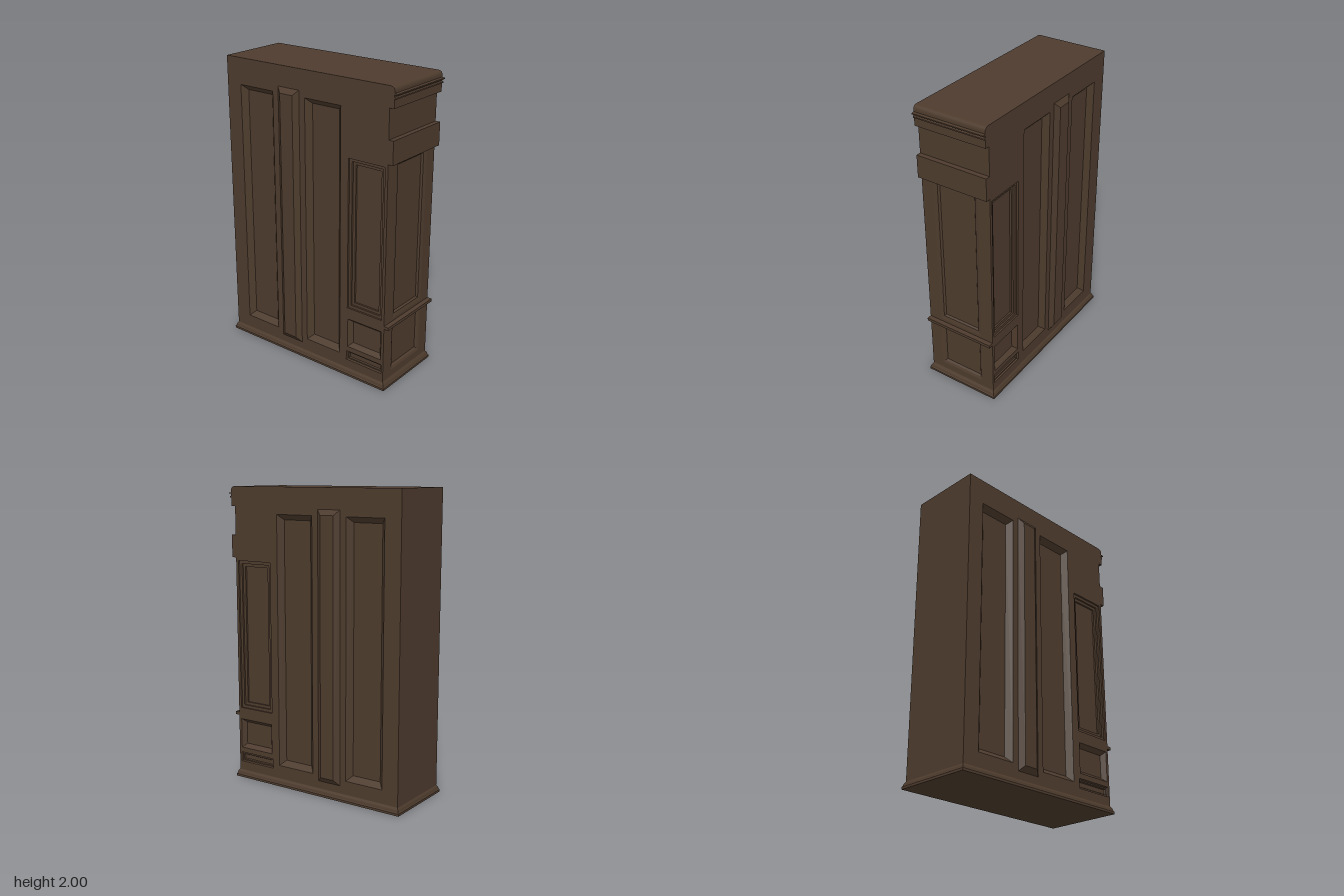
import * as THREE from 'three';

const X0 = -0.66, X1 = 0.62, H = 2, D = 0.25;

// Rectangles are [x0, x1, y0, y1]
const inset = ([a, b, c, d], n) => [a + n, b - n, c + n, d - n];

// Nested rectangles at given heights joined into a moulded panel with a flat field
function mouldingGeometry(rings) {
  const corners = rings.map(([[a, b, c, d], z]) => [[a, c, z], [b, c, z], [b, d, z], [a, d, z]]);
  const pos = [];
  const quad = (p, q, r, s) => pos.push(...p, ...q, ...r, ...p, ...r, ...s);
  for (let i = 0; i < corners.length - 1; i++) {
    for (let k = 0; k < 4; k++) {
      const n = (k + 1) % 4;
      quad(corners[i][k], corners[i][n], corners[i + 1][n], corners[i + 1][k]);
    }
  }
  quad(...corners[corners.length - 1]);
  const g = new THREE.BufferGeometry();
  g.setAttribute('position', new THREE.Float32BufferAttribute(pos, 3));
  g.computeVertexNormals();
  return g;
}

function rectPoints([a, b, c, d]) {
  return [[a, c], [b, c], [b, d], [a, d]].map(p => new THREE.Vector2(...p));
}

// Flat face with rectangular openings
function faceGeometry(rect, openings, z) {
  const shape = new THREE.Shape(rectPoints(rect));
  for (const o of openings) shape.holes.push(new THREE.Path(rectPoints(o)));
  return new THREE.ShapeGeometry(shape).translate(0, 0, z);
}

// Mirror front to back, keeping faces outward
function mirrorZ(geometry) {
  const g = geometry.index ? geometry.toNonIndexed() : geometry.clone();
  const p = g.attributes.position;
  for (let i = 0; i < p.count; i += 3) {
    const b = new THREE.Vector3().fromBufferAttribute(p, i + 1);
    const c = new THREE.Vector3().fromBufferAttribute(p, i + 2);
    p.setXYZ(i + 1, c.x, c.y, c.z);
    p.setXYZ(i + 2, b.x, b.y, b.z);
  }
  for (let i = 0; i < p.count; i++) p.setZ(i, -p.getZ(i));
  g.computeVertexNormals();
  return g;
}

export function createModel() {
  const model = new THREE.Group();
  model.name = 'panelledCabinet';
  const wood = new THREE.MeshStandardMaterial({ color: 0x4d3b2d });
  wood.name = 'darkWood';

  const add = (name, geometry) => {
    const m = new THREE.Mesh(geometry, wood);
    m.name = name;
    model.add(m);
    return m;
  };

  // Front and back share the same panelling
  const leftDoor = [-0.545, -0.27, 0.14, 1.825];
  const rightDoor = [-0.01, 0.27, 0.14, 1.825];
  const tall = [0.33, 0.60, 0.495, 1.51];
  const small = [0.335, 0.60, 0.21, 0.415];
  const drawer = [0.325, 0.605, 0.11, 0.175];
  const pilaster = [-0.225, -0.055, 0.10, 1.865];

  const sunk = r => [[r, D], [inset(r, 0.035), D - 0.035]];
  const sideParts = {
    Wall: faceGeometry([X0, X1, 0, H], [leftDoor, rightDoor, tall, small, drawer], D),
    DoorPanelA: mouldingGeometry(sunk(leftDoor)),
    DoorPanelB: mouldingGeometry(sunk(rightDoor)),
    Pilaster: mouldingGeometry([[pilaster, D], [inset(pilaster, 0.035), D + 0.025]]),
    TallPanel: mouldingGeometry([
      [tall, D], [tall, D - 0.012],
      [inset(tall, 0.02), D - 0.012], [inset(tall, 0.02), D - 0.024],
      [inset(tall, 0.04), D - 0.024], [inset(tall, 0.04), D - 0.036],
    ]),
    SmallPanel: mouldingGeometry([[small, D], [inset(small, 0.025), D - 0.03]]),
    DrawerPanel: mouldingGeometry([
      [drawer, D], [inset(drawer, 0.005), D - 0.012],
      [inset(drawer, 0.013), D - 0.012], [inset(drawer, 0.018), D - 0.02],
    ]),
  };
  for (const [name, g] of Object.entries(sideParts)) {
    add('front' + name, g);
    add('back' + name, mirrorZ(g));
  }

  // Panelled end
  const upper = [-0.163, 0.163, 0.48, 1.53];
  const lower = [-0.163, 0.163, 0.10, 0.435];
  const endPanel = (r, n) => mouldingGeometry([
    [r, X1], [inset(r, n), X1 - 0.006], [inset(r, n + 0.01), X1 - 0.018],
  ]);
  const endParts = {
    endWall: faceGeometry([-D, D, 0, H], [upper, lower], X1),
    endUpperPanel: endPanel(upper, 0.025),
    endLowerPanel: endPanel(lower, 0.016),
  };
  for (const [name, g] of Object.entries(endParts)) add(name, g.rotateY(Math.PI / 2));

  // Plain end, top and underside
  const width = X1 - X0, mid = (X0 + X1) / 2;
  add('plainEnd', new THREE.PlaneGeometry(2 * D, H).rotateY(-Math.PI / 2).translate(X0, H / 2, 0));
  add('top', new THREE.PlaneGeometry(width, 2 * D).rotateX(-Math.PI / 2).translate(mid, H, 0));

  // Flared plinth around the foot
  const foot = [X0 - 0.017, X1 + 0.02, -D - 0.018, D + 0.018];
  add('plinth', mouldingGeometry([
    [foot, 0], [foot, 0.015], [inset(foot, 0.005), 0.02],
    [inset(foot, 0.009), 0.035], [inset(foot, 0.022), 0.055],
  ]).rotateX(-Math.PI / 2));
  add('underside', new THREE.PlaneGeometry(foot[1] - foot[0], foot[3] - foot[2])
    .rotateX(Math.PI / 2).translate((foot[0] + foot[1]) / 2, 0, 0));

  // Rounded cornice with two thin lips
  const cornice = new THREE.Shape();
  cornice.moveTo(X1, 1.87);
  for (const [x, y] of [[0.652, 1.87], [0.652, 1.925], [0.662, 1.925], [0.662, 1.933],
    [0.652, 1.938], [0.652, 1.95], [0.672, 1.95], [0.672, 1.957], [0.653, 1.96], [0.653, 1.972]]) {
    cornice.lineTo(x, y);
  }
  cornice.quadraticCurveTo(0.652, H, X1, H);
  cornice.closePath();
  add('cornice', new THREE.ExtrudeGeometry(cornice, { depth: 2 * D, bevelEnabled: false, curveSegments: 6 })
    .translate(0, 0, -D));

  // Bands across the panelled end
  for (const [name, y0, y1] of [['upperBand', 1.53, 1.68], ['lowerRail', 0.44, 0.46]]) {
    add(name, new THREE.BoxGeometry(0.033, y1 - y0, 2 * D).translate(X1 + 0.0165, (y0 + y1) / 2, 0));
  }
  return model;
}
